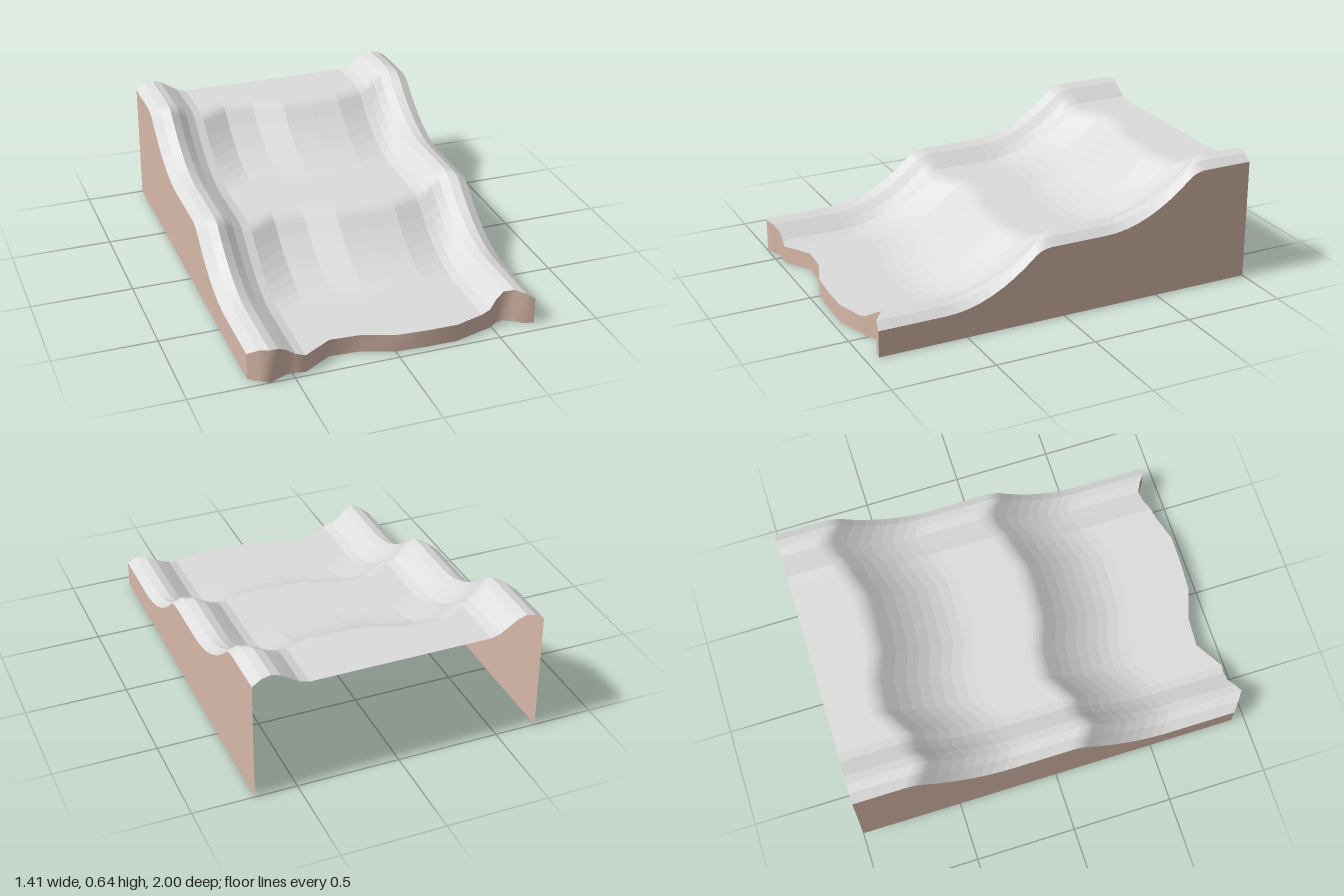
import * as THREE from 'three';

// Columns across the width: x, height of the lip, z of the wavy front edge
const COLUMNS = [
  [-0.705, 0.13, 0.935], [-0.66, 0.16, 0.97], [-0.617, 0.17, 1.0], [-0.573, 0.157, 0.98],
  [-0.53, 0.13, 0.96], [-0.485, 0.1, 0.962], [-0.44, 0.088, 0.97], [-0.3, 0.088, 0.885],
  [-0.15, 0.088, 0.895], [0, 0.088, 0.95], [0.15, 0.088, 0.96], [0.3, 0.088, 0.962],
  [0.44, 0.088, 0.92], [0.485, 0.1, 0.91], [0.53, 0.13, 0.88], [0.573, 0.157, 0.867],
  [0.617, 0.17, 0.89], [0.66, 0.16, 0.925], [0.705, 0.13, 0.935],
];
const PERIOD = 0.82, RISE = 0.235, BACK = -1;

// Lengthwise profile: distance behind the front edge, height gained
function stepProfile() {
  const pts = [[0, 0]];
  for (let s = 0; s < 2; s++) {
    const d0 = s * PERIOD, y0 = s * RISE;
    // hollow slope
    for (let i = 0; i <= 8; i++) {
      const t = (i / 8) * 0.45;
      pts.push([d0 + 0.33 + t, y0 + t * t]);
    }
    // rounded crest
    const crest = new THREE.QuadraticBezierCurve(
      new THREE.Vector2(0.78, 0.2025), new THREE.Vector2(0.816, RISE), new THREE.Vector2(0.872, RISE));
    for (const p of crest.getPoints(7).slice(1)) pts.push([d0 + p.x, y0 + p.y]);
  }
  pts.push([Infinity, 2 * RISE]);
  return pts;
}

// Indexed sheet of quads through a grid of points
function sheet(rows) {
  const n = rows[0].length, index = [];
  for (let r = 0; r < rows.length - 1; r++) {
    for (let c = 0; c < n - 1; c++) {
      const a = r * n + c, b = a + n;
      index.push(a, b, a + 1, b, b + 1, a + 1);
    }
  }
  const g = new THREE.BufferGeometry();
  g.setAttribute('position', new THREE.Float32BufferAttribute(rows.flat(2), 3));
  g.setIndex(index);
  return g;
}

function addMesh(group, name, geometry, material, flat) {
  const g = flat ? geometry.toNonIndexed() : geometry;
  g.computeVertexNormals();
  const mesh = new THREE.Mesh(g, material);
  mesh.name = name;
  group.add(mesh);
}

export function createModel() {
  const group = new THREE.Group();
  group.name = 'steppedSlope';
  const grey = new THREE.MeshStandardMaterial({ color: 0xdcdcdc, side: THREE.DoubleSide });
  grey.name = 'pale grey';
  const tan = new THREE.MeshStandardMaterial({ color: 0xd6b8a8, side: THREE.DoubleSide });
  tan.name = 'tan';

  const profile = stepProfile();
  const columns = COLUMNS.map(([x, y, z]) =>
    profile.map(([d, h]) => [x, y + h, Math.max(BACK, z - d)]));
  const drop = (line) => line.map(([x, , z]) => [x, 0, z]);

  // Rolling top surface, front to back
  const rows = profile.map((_, i) => columns.map((c) => c[i]));
  addMesh(group, 'topSurface', sheet(rows.reverse()), grey, true);

  // Wavy front wall
  const lip = columns.map((c) => c[0]);
  addMesh(group, 'frontWall', sheet([lip, drop(lip)]), tan, false);

  // Side walls, left facing +x and right facing -x
  const left = columns[columns.length - 1];
  const right = [...columns[0]].reverse();
  addMesh(group, 'leftWall', sheet([left, drop(left)]), tan, true);
  addMesh(group, 'rightWall', sheet([right, drop(right)]), tan, true);

  return group;
}
